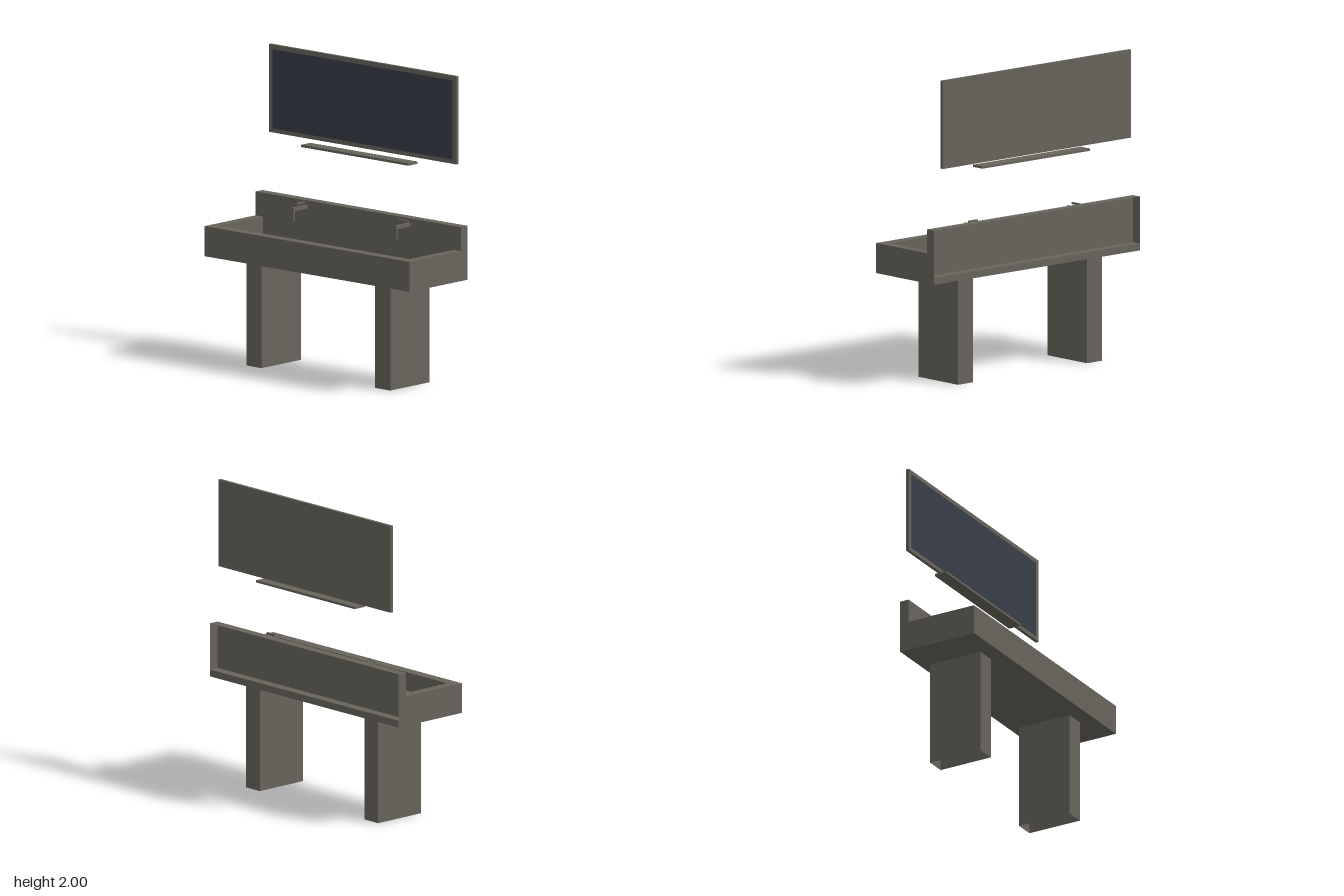
import * as THREE from 'three';

const stone = new THREE.MeshStandardMaterial({ color: 0x67645b, side: THREE.DoubleSide });
stone.name = 'stone grey';
const glass = new THREE.MeshStandardMaterial({ color: 0x393e47 });
glass.name = 'mirror glass';

// Box given by its limits; faces listed in skip are left open
// (0 +x, 1 -x, 2 +y, 3 -y, 4 +z, 5 -z)
function box(parent, name, [x0, x1], [y0, y1], [z0, z1], skip = [], material = stone) {
  const geo = new THREE.BoxGeometry(x1 - x0, y1 - y0, z1 - z0);
  if (skip.length) {
    const index = Array.from(geo.index.array);
    geo.setIndex(index.filter((_, i) => !skip.includes(Math.floor(i / 6))));
    geo.clearGroups();
  }
  const mesh = new THREE.Mesh(geo, material);
  mesh.name = name;
  mesh.position.set((x0 + x1) / 2, (y0 + y1) / 2, (z0 + z1) / 2);
  parent.add(mesh);
  return mesh;
}

function group(parent, name) {
  const g = new THREE.Group();
  g.name = name;
  parent.add(g);
  return g;
}

export function createModel() {
  const model = new THREE.Group();
  model.name = 'doubleWashstand';

  // Trough basin: slab, three rims and a raised floor
  const basin = group(model, 'basin');
  const W = 0.883, IN = 0.82, BACK = -0.209, FRONT = 0.275, INFRONT = 0.207;
  const slabTop = 0.735, rim = 0.885;
  box(basin, 'basinSlab', [-W, W], [0.69, slabTop], [-0.273, FRONT]);
  box(basin, 'basinFloor', [-IN, IN], [slabTop, 0.765], [BACK, INFRONT], [3, 5]);
  box(basin, 'frontRim', [-W, W], [slabTop, rim], [INFRONT, FRONT], [3]);
  box(basin, 'leftRim', [IN, W], [slabTop, rim], [BACK, INFRONT], [3, 4, 5]);
  box(basin, 'rightRim', [-W, -IN], [slabTop, rim], [BACK, INFRONT], [3, 4, 5]);

  // Splashback, hollow from behind
  box(model, 'splashback', [-W, W], [slabTop, 1.04], [-0.273, BACK], [3, 5]);

  // Hollow legs, open underneath
  for (const [name, x] of [['leftLeg', 0.552], ['rightLeg', -0.555]]) {
    box(model, name, [x - 0.065, x + 0.065], [0, 0.69], [-0.207, 0.166], [2, 3]);
  }

  // Wall taps: spout, downturned outlet and a flat lever
  for (const [name, x, turn] of [['leftTap', 0.44, Math.PI / 2], ['rightTap', -0.445, 0.07]]) {
    const tap = group(model, name);
    tap.position.x = x;
    box(tap, 'spout', [-0.01, 0.01], [0.987, 1.01], [BACK, -0.077]);
    box(tap, 'outlet', [-0.01, 0.01], [0.923, 0.987], [-0.092, -0.077]);
    const lever = box(tap, 'lever', [-0.006, 0.006], [1.025, 1.037], [-0.192, -0.116]);
    lever.rotation.y = turn;
  }

  // Shelf below the mirror
  box(model, 'shelf', [-0.463, 0.46], [1.387, 1.402], [-0.265, -0.178]);

  // Framed mirror with its thin glass plate
  const mirror = group(model, 'mirror');
  box(mirror, 'mirrorFrame', [-0.806, 0.806], [1.43, 2], [-0.273, -0.252]);
  box(mirror, 'mirrorGlass', [-0.773, 0.773], [1.457, 1.971], [-0.252, -0.2505], [5], glass);

  return model;
}
